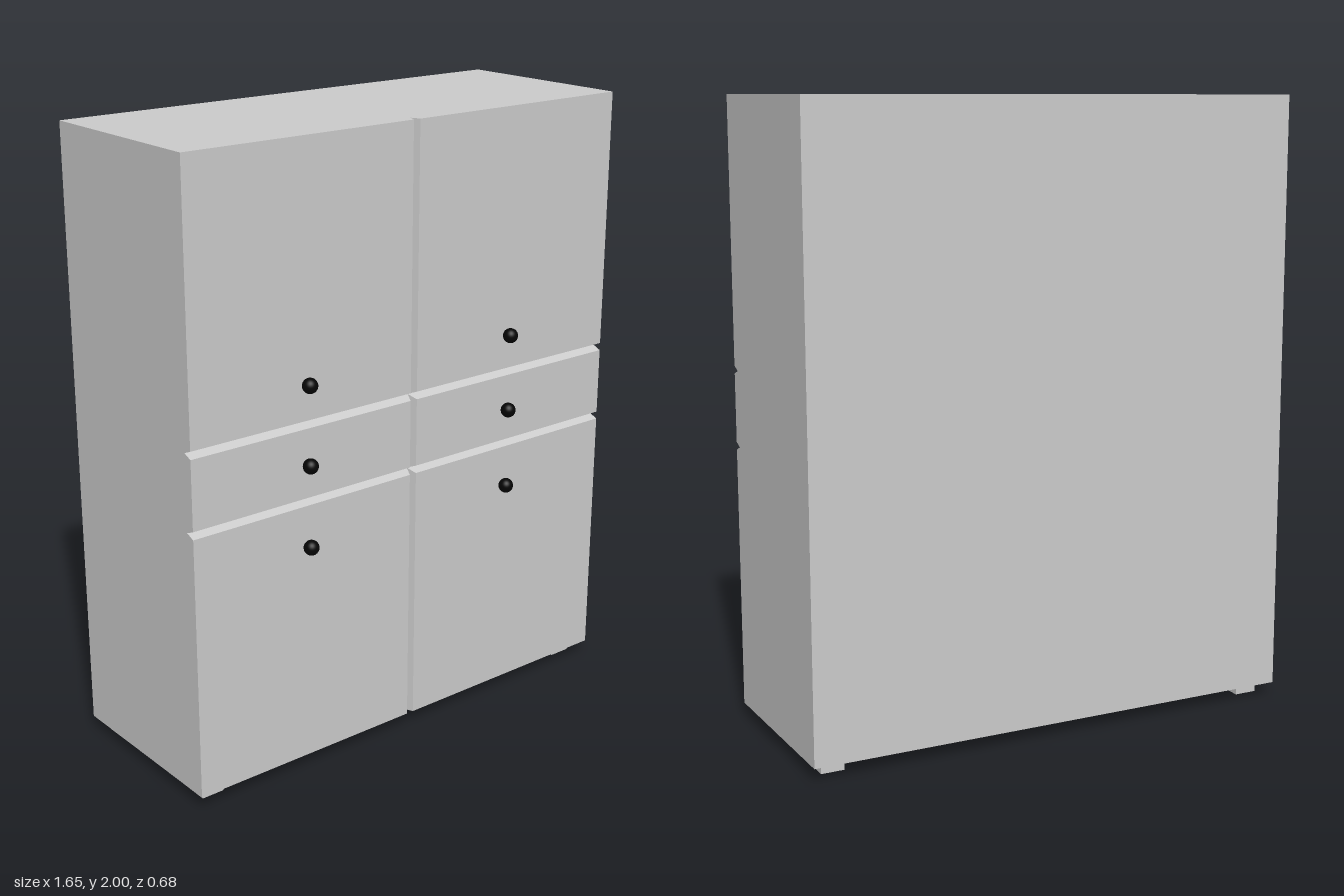
import * as THREE from 'three';

const grey = new THREE.MeshStandardMaterial({ color: 0xcccccc });
const black = new THREE.MeshStandardMaterial({ color: 0x050505 });

// Box between two corners, leaving out one of its faces (0..5 = +x -x +y -y +z -z)
function openBox(min, max, skipFace = -1) {
  const geo = new THREE.BoxGeometry(max[0] - min[0], max[1] - min[1], max[2] - min[2]);
  geo.translate((min[0] + max[0]) / 2, (min[1] + max[1]) / 2, (min[2] + max[2]) / 2);
  const index = Array.from(geo.index.array).filter((_, i) => Math.floor(i / 6) !== skipFace);
  geo.clearGroups();
  geo.setIndex(index);
  return geo;
}

export function createModel() {
  const group = new THREE.Group();
  const add = (name, geo, mat = grey) => {
    const mesh = new THREE.Mesh(geo, mat);
    mesh.name = name;
    group.add(mesh);
    return mesh;
  };

  const W = 0.826, bottom = 0.042, top = 2, back = -0.34, front = 0.295;
  const root = 0.265, bevel = 0.0125; // depth and half width of the V grooves

  // Carcass behind the grooves
  add('carcass', openBox([-W, bottom, back], [W, top, root], 4));

  // Doors and drawers: slabs whose inner edges slope to form the grooves
  const xs = [-W, -0.001, W];
  const ys = [bottom, 0.9, 1.145, top];
  const names = ['lowerDoor', 'drawer', 'upperDoor'];
  for (let i = 0; i < 2; i++) {
    for (let j = 0; j < 3; j++) {
      const geo = openBox([xs[i], ys[j], root], [xs[i + 1], ys[j + 1], front], 5);
      const p = geo.attributes.position;
      for (let k = 0; k < p.count; k++) {
        if (p.getZ(k) < (root + front) / 2) continue;
        const right = p.getX(k) > (xs[i] + xs[i + 1]) / 2;
        const upper = p.getY(k) > (ys[j] + ys[j + 1]) / 2;
        if (right === (i === 0)) p.setX(k, p.getX(k) + (right ? -bevel : bevel));
        if (upper && j < 2) p.setY(k, p.getY(k) - bevel);
        if (!upper && j > 0) p.setY(k, p.getY(k) + bevel);
      }
      geo.computeVertexNormals();
      add((i ? 'left' : 'right') + names[j][0].toUpperCase() + names[j].slice(1), geo);
    }
  }

  // Round black knobs
  const knob = new THREE.SphereGeometry(0.024, 32, 20);
  for (const x of [-0.42, 0.383]) {
    for (const y of [0.76, 1.022, 1.273]) add('knob', knob, black).position.set(x, y, 0.318);
  }

  // Feet
  for (const x of [-0.752, 0.748]) {
    for (const z of [-0.25, 0.206]) {
      add('foot', openBox([x - 0.038, 0, z - 0.038], [x + 0.038, bottom, z + 0.038], 2));
    }
  }
  return group;
}
